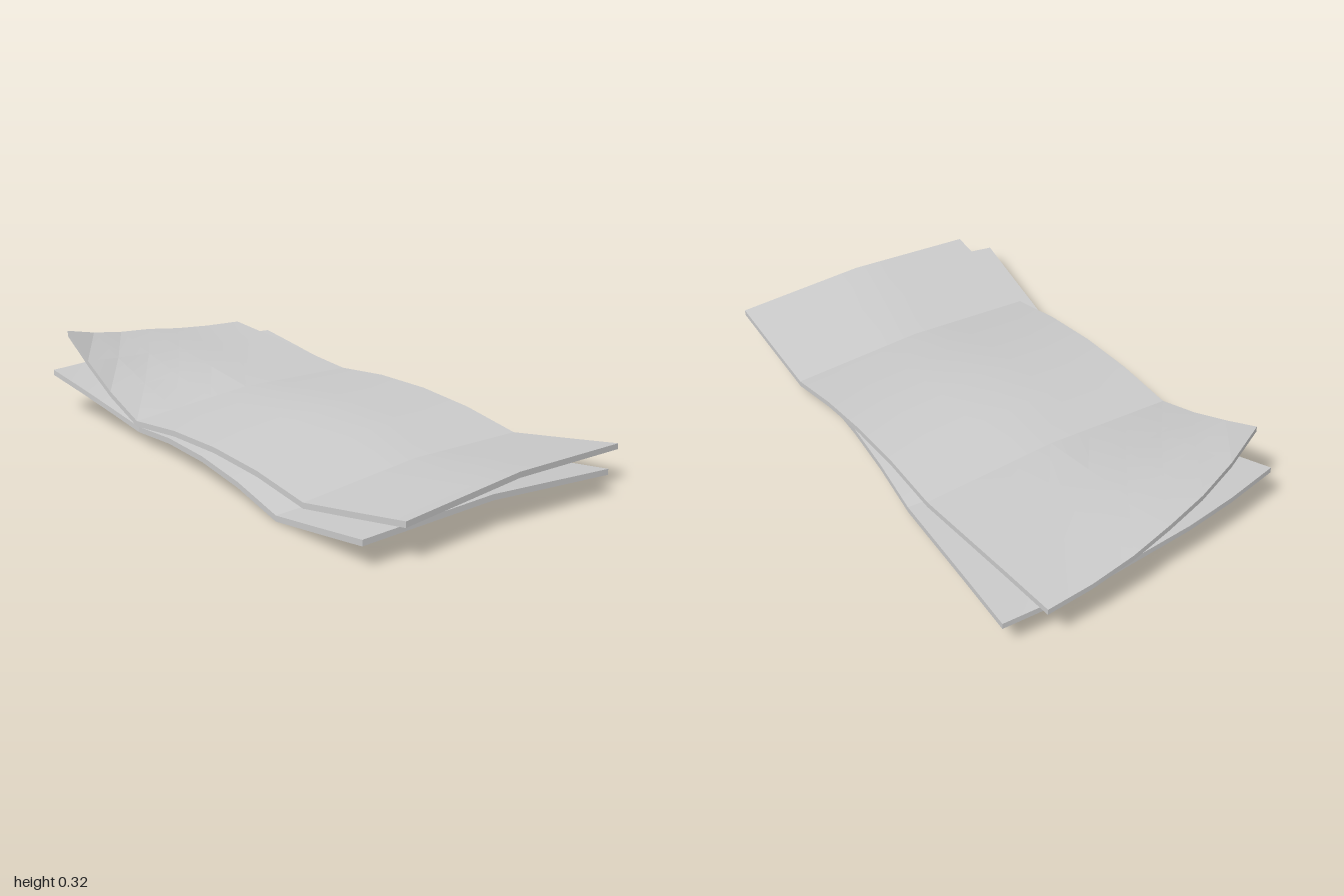
import * as THREE from 'three';
import { toCreasedNormals } from 'three/addons/utils/BufferGeometryUtils.js';

const WIDTH = 0.97, LENGTH = 1.95, THICK = 0.02, FRONT = 0.95;
// Height of the middle fold from the front edge to the back edge, at equal steps
const WAVE = [0.165, 0.127, 0.09, 0.13, 0.15, 0.15, 0.13, 0.15, 0.17, 0.188];
const STEPS = WAVE.length - 1;

function waveHeight(z) {
  const t = THREE.MathUtils.clamp((FRONT - z) / LENGTH, 0, 1) * STEPS;
  const i = Math.min(Math.floor(t), STEPS - 1);
  return THREE.MathUtils.lerp(WAVE[i], WAVE[i + 1], t - i);
}

// A thin slab, waved along its length, folded along the middle,
// with its back corner on the -x side pulled by the curl vector
function makeSheet(name, curl) {
  const geo = new THREE.BoxGeometry(WIDTH, THICK, LENGTH, 6, 1, STEPS);
  geo.translate(0, -THICK / 2, FRONT - LENGTH / 2);
  const pos = geo.attributes.position;
  const p = new THREE.Vector3();
  for (let i = 0; i < pos.count; i++) {
    p.fromBufferAttribute(pos, i);
    const across = THREE.MathUtils.clamp(0.5 - p.x / WIDTH, 0, 1);
    const along = THREE.MathUtils.clamp((-0.35 - p.z) / 0.65, 0, 1);
    const bend = Math.pow(across, 2.2) * Math.pow(along, 1.2);
    p.y += waveHeight(p.z) - 0.025 * Math.abs(p.x) / (WIDTH / 2);
    p.addScaledVector(curl, bend);
    pos.setXYZ(i, p.x, p.y, p.z);
  }
  const mesh = new THREE.Mesh(
    toCreasedNormals(geo, THREE.MathUtils.degToRad(8)),
    new THREE.MeshStandardMaterial({ color: 0xcccccc })
  );
  mesh.name = name;
  return mesh;
}

export function createModel() {
  const group = new THREE.Group();
  group.name = 'foldedSheets';

  // Upper sheet, its back corner curled well up
  group.add(makeSheet('upperSheet', new THREE.Vector3(0.045, 0.157, 0.16)));

  // Lower sheet, turned slightly, its corner pulled outwards
  const lower = makeSheet('lowerSheet', new THREE.Vector3(-0.095, 0.05, 0.175));
  lower.rotation.y = -THREE.MathUtils.degToRad(6.7);
  lower.position.y = -0.045;
  group.add(lower);

  return group;
}
